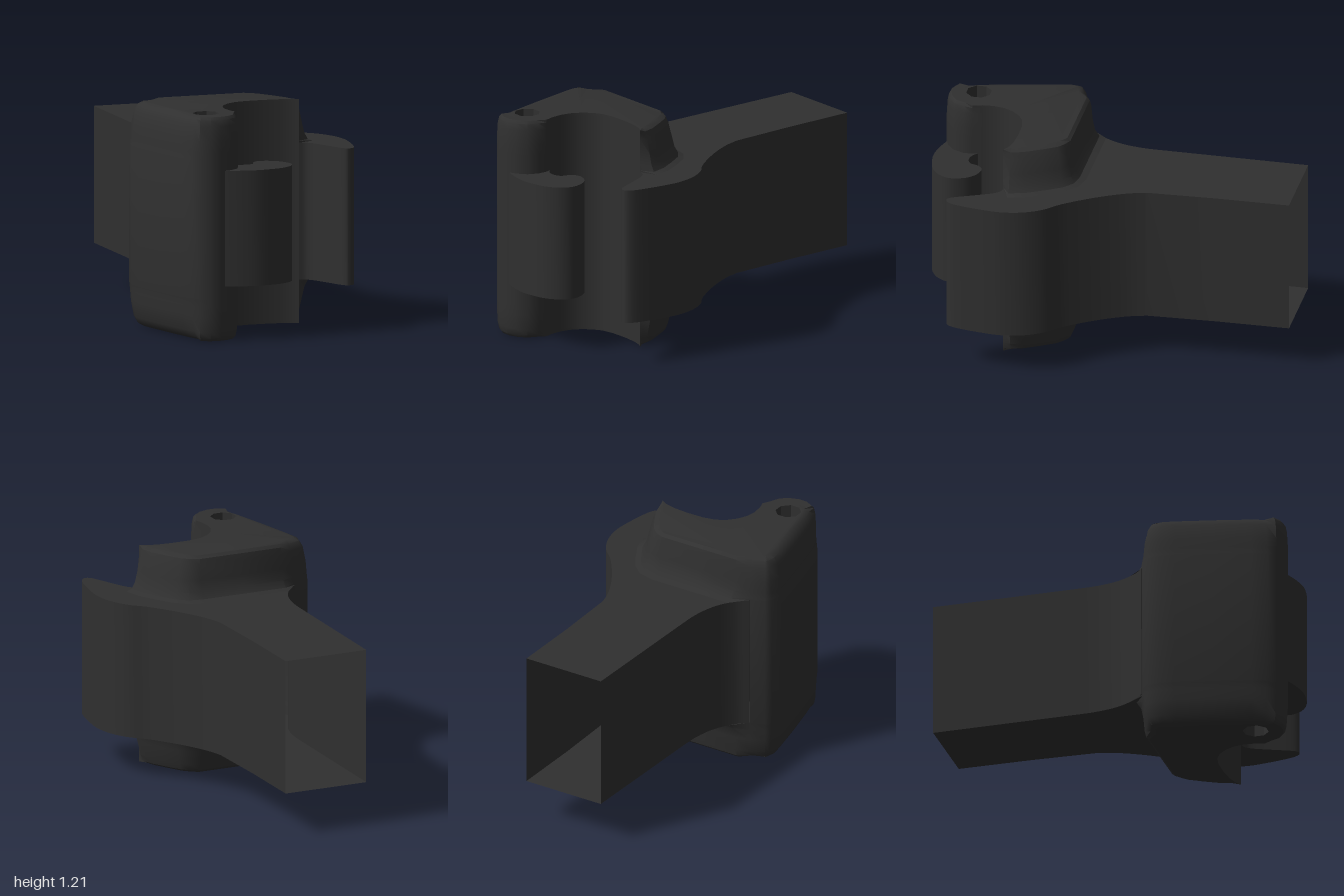
import * as THREE from 'three';
import { mergeGeometries, toCreasedNormals } from 'three/addons/utils/BufferGeometryUtils.js';

const H = 1.21, ARM_LOW = 0.235, ARM_HIGH = 0.975;
const PIVOT = [-0.32, 0.8], HOLE_R = 0.07, HOLE_DEPTH = 0.08;

// Wall through stacked rings of [x, y, z]; rings run clockwise seen from above
function loft(rings, closed, skip = () => false) {
  const pos = [];
  for (let k = 0; k < rings.length - 1; k++) {
    const lo = rings[k], hi = rings[k + 1], n = lo.length;
    for (let i = 0; i < (closed ? n : n - 1); i++) {
      const j = (i + 1) % n;
      if (skip(k, i, j)) continue;
      pos.push(...lo[i], ...hi[i], ...hi[j], ...lo[i], ...hi[j], ...lo[j]);
    }
  }
  const g = new THREE.BufferGeometry();
  g.setAttribute('position', new THREE.Float32BufferAttribute(pos, 3));
  return g;
}

// Flat plate over an outline of [x, z], facing up or down
function cap(outline, y, up, hole) {
  const s = up ? -1 : 1;
  const toV = ([x, z]) => new THREE.Vector2(x, s * z);
  const shape = new THREE.Shape(outline.map(toV));
  if (hole) shape.holes.push(new THREE.Path(hole.map(toV)));
  const g = new THREE.ShapeGeometry(shape).toNonIndexed();
  g.rotateX(s * Math.PI / 2).translate(0, y, 0);
  g.deleteAttribute('normal');
  g.deleteAttribute('uv');
  return g;
}

const ring = (pts, y) => pts.map(([x, z]) => [x, y, z]);
const smooth = (pts, n) => new THREE.SplineCurve(pts.map(p => new THREE.Vector2(...p)))
  .getPoints(n).map(p => [p.x, p.y]);
const circle = (r, n) => Array.from({ length: n }, (_, i) => {
  const a = (i + 0.5) / n * Math.PI * 2;
  return [PIVOT[0] + r * Math.cos(a), PIVOT[1] + r * Math.sin(a)];
});

// Body outline: L rounded side, B flared back, R flared right, C cavity, F front boss
const BODY = [
  [-0.565, 0.27, 'L'], [-0.54, 0.24, 'L'], [-0.46, 0.21, 'L'],
  [-0.38, 0.2, 'B'], [-0.15, 0.2, 'B'], [0.1, 0.2, 'B'],
  [0.16, 0.215, 'R'], [0.2, 0.25, 'R'], [0.25, 0.33, 'R'], [0.3, 0.42, 'R'], [0.32, 0.49, 'R'],
  [0.305, 0.53, 'C'], [0.27, 0.51, 'C'], [0.21, 0.495, 'C'], [0.12, 0.488, 'C'], [0.02, 0.49, 'C'],
  [-0.05, 0.505, 'C'], [-0.1, 0.535, 'C'], [-0.14, 0.58, 'C'], [-0.165, 0.63, 'C'], [-0.175, 0.69, 'C'],
  [-0.17, 0.75, 'C'], [-0.155, 0.8, 'C'], [-0.155, 0.85, 'F'], [-0.18, 0.91, 'F'],
  [-0.23, 0.95, 'F'], [-0.29, 0.97, 'F'], [-0.35, 0.968, 'F'], [-0.405, 0.94, 'F'],
  [-0.44, 0.9, 'L'], [-0.47, 0.82, 'L'], [-0.52, 0.62, 'L'], [-0.565, 0.42, 'L'], [-0.578, 0.34, 'L'],
];
// Heights above the arm and the inset of each kind of edge there
const LEVELS = [0.975, 0.985, 1.02, 1.08, 1.16, 1.195, 1.21];
const INSET = {
  L: [0, 0.002, 0.005, 0.01, 0.025, 0.045, 0.075],
  B: [-0.08, -0.045, -0.02, -0.008, 0, 0.008, 0.025],
  R: [-0.08, -0.05, -0.03, -0.015, 0.005, 0.02, 0.045],
  F: [0, 0, 0, 0, 0.005, 0.012, 0.025],
  C: [0, 0, 0, 0, 0, 0, 0],
};

function bodyRing(level) {
  const n = BODY.length;
  return BODY.map(([x, z, kind], i) => {
    const a = BODY[(i + n - 1) % n], b = BODY[(i + 1) % n];
    const dx = b[0] - a[0], dz = b[1] - a[1], len = Math.hypot(dx, dz);
    const d = INSET[kind][level];
    return [x - dz / len * d, z + dx / len * d];
  });
}

function bodyGeometry() {
  const half = LEVELS.map((y, k) => [y, bodyRing(k)]);
  const rings = [...half].reverse().map(([y, r]) => ring(r, H - y))
    .concat(half.map(([y, r]) => ring(r, y)));
  const mid = LEVELS.length - 1;
  const joined = i => 'BR'.includes(BODY[i][2]);
  // The body opens into the hollow arm between the arm's top and bottom
  const walls = loft(rings, true, (k, i, j) => k === mid && (joined(i) || joined(j)));
  const top = bodyRing(mid), hole = circle(HOLE_R, 8);
  return mergeGeometries([walls, cap(top, H, true, hole), cap(top, 0, false, hole)]);
}

// Pivot recess: eight-sided socket with a round pin end on its floor
function recessGeometry(up) {
  const face = up ? H : 0, floor = up ? H - HOLE_DEPTH : HOLE_DEPTH;
  const pinEnd = floor + (up ? 0.02 : -0.02);
  const socket = circle(HOLE_R, 8), pin = circle(0.042, 16);
  const lo = Math.min(face, floor), hi = Math.max(face, floor);
  return mergeGeometries([
    loft([ring(socket, lo), ring(socket, hi)], true),
    cap(socket, floor, up),
    loft([ring([...pin].reverse(), Math.min(floor, pinEnd)), ring([...pin].reverse(), Math.max(floor, pinEnd))], true),
    cap(pin, pinEnd, up),
  ]);
}

// Hollow arm, open at its rear end, spreading into a jaw on the left
function armGeometry() {
  const right = [...smooth([[-0.46, 0.205], [-0.41, 0.16], [-0.36, 0.08], [-0.33, 0], [-0.313, -0.1], [-0.31, -0.2]], 20),
    [-0.31, -1]];
  const left = [[0.165, -1], [0.17, -0.6], ...smooth([[0.185, -0.23], [0.22, -0.12], [0.3, 0.03], [0.41, 0.185],
    [0.495, 0.27], [0.55, 0.37], [0.573, 0.48], [0.568, 0.58], [0.55, 0.7], [0.53, 0.77], [0.5, 0.798],
    [0.465, 0.78], [0.41, 0.66], [0.37, 0.575], [0.34, 0.54], [0.305, 0.53]], 64)];
  const outline = [...right, ...left, [0.25, 0.48], [0, 0.46], [-0.4, 0.4]];
  return mergeGeometries([
    ...[right, left].map(p => loft([ring(p, ARM_LOW), ring(p, ARM_HIGH)], false)),
    cap(outline, ARM_HIGH, true), cap(outline, ARM_LOW, false),
  ]);
}

// Curled latch in front of the cavity
function latchGeometry() {
  const p = [[-0.29, 0.85], ...smooth([[-0.18, 0.75], [-0.15, 0.785], [-0.115, 0.803], [-0.075, 0.803], [-0.045, 0.785],
    [-0.033, 0.75], [-0.01, 0.722], [0.03, 0.713], [0.09, 0.738], [0.13, 0.79], [0.145, 0.86], [0.115, 0.925],
    [0.05, 0.972], [-0.03, 0.993], [-0.11, 1], [-0.2, 0.985], [-0.285, 0.958]], 64)];
  return mergeGeometries([
    loft([ring(p, 0.295), ring(p, 0.92)], true),
    cap(p, 0.92, true), cap(p, 0.295, false),
  ]);
}

export function createModel() {
  const group = new THREE.Group();
  group.name = 'clampBracket';
  const darkGrey = new THREE.MeshStandardMaterial({ color: 0x303030, side: THREE.DoubleSide });
  darkGrey.name = 'dark grey';
  const add = (name, geometry) => {
    const mesh = new THREE.Mesh(toCreasedNormals(geometry, 0.6), darkGrey);
    mesh.name = name;
    group.add(mesh);
  };
  add('body', bodyGeometry());
  add('arm', armGeometry());
  add('latch', latchGeometry());
  add('upperPivotRecess', recessGeometry(true));
  add('lowerPivotRecess', recessGeometry(false));
  return group;
}
